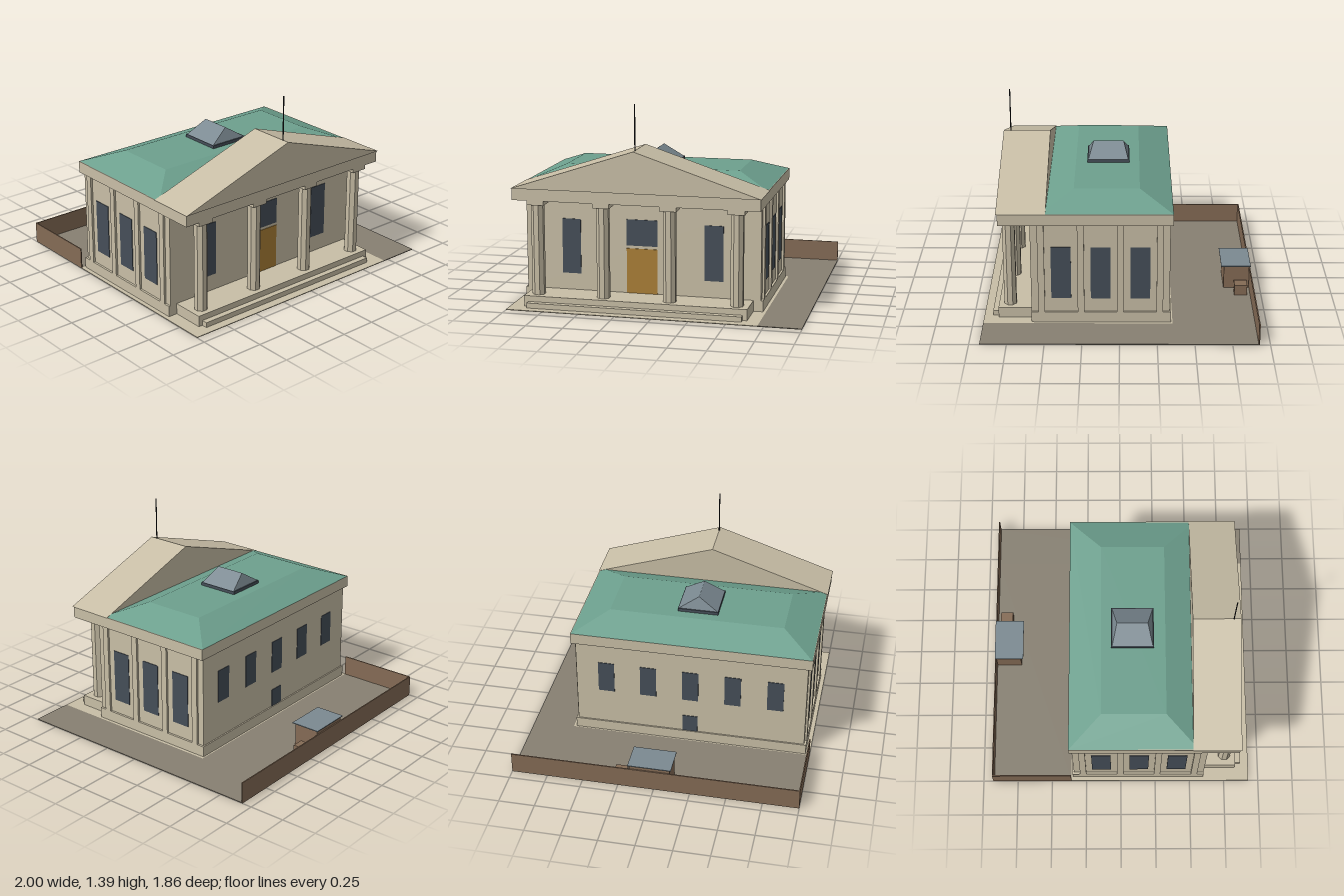
import * as THREE from 'three';

const mat = (name, color) => Object.assign(new THREE.MeshStandardMaterial({ color }), { name });

export function createModel() {
  const stone = mat('stone', 0xc8bea6);
  const paving = mat('yard paving', 0x878072);
  const brick = mat('brown brick', 0x846b55);
  const copper = mat('green copper', 0x6da08e);
  const pane = mat('dark window', 0x454e58);
  const wood = mat('door wood', 0xaa7f36);
  const glass = mat('skylight glass', 0x7b8991);
  const iron = mat('black iron', 0x1e1e20);

  const model = new THREE.Group();
  model.name = 'columnedHall';
  const CX = -0.14; // building centre line

  const add = (name, geometry, material, x = 0, y = 0, z = 0) => {
    const mesh = new THREE.Mesh(geometry, material);
    mesh.name = name;
    mesh.position.set(x, y, z);
    model.add(mesh);
    return mesh;
  };
  // box given by its limits on each axis
  const box = (name, material, x0, x1, y0, y1, z0, z1) =>
    add(name, new THREE.BoxGeometry(x1 - x0, y1 - y0, z1 - z0), material,
      (x0 + x1) / 2, (y0 + y1) / 2, (z0 + z1) / 2);
  // box centred on the building's axis
  const centred = (name, material, half, y0, y1, z0, z1) =>
    box(name, material, CX - half, CX + half, y0, y1, z0, z1);
  // hipped solid: lower and upper rectangles [x0, x1, z0, z1]
  const hip = (name, material, low, high, y0, y1) => {
    const g = new THREE.BoxGeometry(1, 1, 1);
    const p = g.attributes.position;
    for (let i = 0; i < p.count; i++) {
      const top = p.getY(i) > 0;
      const r = top ? high : low;
      p.setXYZ(i, r[p.getX(i) > 0 ? 1 : 0], top ? y1 : y0, r[p.getZ(i) > 0 ? 3 : 2]);
    }
    g.computeVertexNormals();
    return add(name, g, material);
  };

  // grounds
  box('plaza', stone, -1, 0.71, 0, 0.005, -0.36, 0.93);
  box('sideYard', paving, 0.71, 1, 0, 0.005, -0.93, 0.93);
  box('backYard', paving, -1, 0.71, 0, 0.005, -0.93, -0.36);
  box('backYardWall', brick, -1, 1, 0, 0.15, -0.93, -0.922);
  box('sideYardWall', brick, -1, -0.992, 0, 0.15, -0.922, -0.36);

  // yard shed and bin
  box('shed', brick, -0.11, 0.17, 0.005, 0.175, -0.92, -0.74);
  box('shedRoof', glass, -0.12, 0.18, 0.175, 0.181, -0.93, -0.72);
  box('bin', brick, 0.2, 0.285, 0.005, 0.08, -0.9, -0.81);

  // main block
  centred('plinth', stone, 0.83, 0.005, 0.08, -0.35, 0.6);
  centred('walls', stone, 0.815, 0.08, 0.73, -0.34, 0.6);
  centred('entablature', stone, 0.845, 0.73, 0.81, -0.358, 0.812);
  centred('porticoFloor', stone, 0.765, 0.005, 0.08, 0.6, 0.83);
  centred('frontStep', stone, 0.735, 0.005, 0.04, 0.83, 0.87);

  // portico columns with eight sides and square capitals
  const shaft = new THREE.CylinderGeometry(0.045, 0.045, 0.62, 8, 1).toNonIndexed();
  shaft.rotateY(Math.PI / 8);
  shaft.computeVertexNormals();
  for (const dx of [-0.683, -0.228, 0.228, 0.683]) {
    add('column', shaft, stone, CX + dx, 0.39, 0.752);
    box('capital', stone, CX + dx - 0.057, CX + dx + 0.057, 0.7, 0.73, 0.695, 0.809);
  }

  // pediment: triangular prism above the portico
  const tri = new THREE.Shape([[-0.85, 0.81], [0.85, 0.81], [0, 1.09]]
    .map(([x, y]) => new THREE.Vector2(x, y)));
  add('pediment', new THREE.ExtrudeGeometry(tri, { depth: 0.33, bevelEnabled: false }),
    stone, CX, 0, 0.492);
  add('flagpole', new THREE.CylinderGeometry(0.004, 0.004, 0.31, 8), iron, CX, 1.24, 0.772);

  // copper roof and skylight
  hip('roof', copper, [-0.98, 0.7, -0.358, 0.53], [-0.755, 0.47, -0.135, 0.31], 0.81, 0.9);
  box('skylightCurb', pane, -0.282, 0.002, 0.9, 0.922, -0.065, 0.23);
  hip('skylight', glass, [-0.277, -0.003, -0.058, 0.223],
    [CX - 0.001, CX + 0.001, -0.025, 0.188], 0.922, 1.01);

  // side pilasters and tall windows, mirrored about the centre line
  for (const s of [-1, 1]) {
    for (let i = 0; i < 4; i++) {
      const z = 0.53 - i * 0.2675;
      add('pilaster', new THREE.BoxGeometry(0.015, 0.65, 0.045), stone,
        CX + s * 0.8225, 0.405, z);
      if (i < 3) {
        add('sideWindow', new THREE.BoxGeometry(0.006, 0.38, 0.135), pane,
          CX + s * 0.816, 0.37, z - 0.134);
      }
    }
  }

  // front openings
  for (const s of [-1, 1]) {
    add('frontWindow', new THREE.BoxGeometry(0.13, 0.38, 0.006), pane,
      CX + s * 0.495, 0.385, 0.601);
  }
  centred('frontDoor', wood, 0.107, 0.08, 0.39, 0.598, 0.604);
  centred('transomWindow', pane, 0.107, 0.41, 0.59, 0.598, 0.604);

  // back openings
  for (let i = -2; i <= 2; i++) {
    add('backWindow', new THREE.BoxGeometry(0.115, 0.235, 0.006), pane,
      CX + i * 0.3, 0.465, -0.341);
  }
  centred('backDoor', pane, 0.053, 0.08, 0.21, -0.344, -0.338);

  return model;
}
